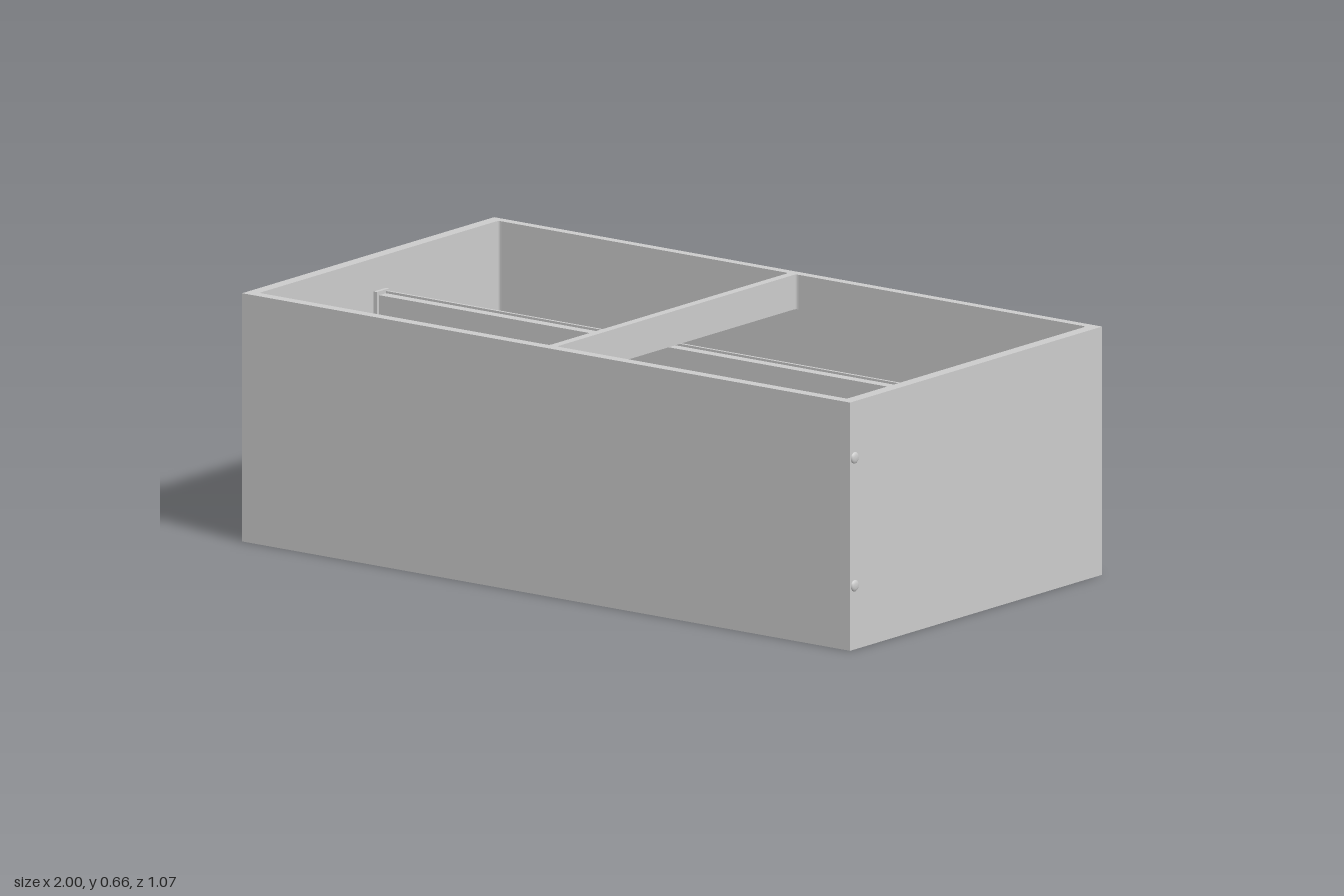
import * as THREE from 'three';

const W = 0.993, H = 0.66, D = 0.533;          // half width, height, half depth
const IX = 0.96, ZB = -0.508, ZF = 0.503;      // inner faces of the walls
const RAIL_Y = 0.568;                          // underside of the centre rail
const material = new THREE.MeshStandardMaterial({ color: 0xcccccc });

function add(parent, name, geometry, x = 0, y = 0, z = 0) {
  const mesh = new THREE.Mesh(geometry, material);
  mesh.name = name;
  mesh.position.set(x, y, z);
  parent.add(mesh);
  return mesh;
}

// Box given by its limits
function block(parent, name, x0, x1, y0, y1, z0, z1) {
  return add(parent, name, new THREE.BoxGeometry(x1 - x0, y1 - y0, z1 - z0),
    (x0 + x1) / 2, (y0 + y1) / 2, (z0 + z1) / 2);
}

// Rounded rectangle in plan, drawn with shape y = -z
function roundedRect(path, x0, x1, z0, z1, r) {
  const y0 = -z1, y1 = -z0;
  path.moveTo(x0 + r, y0);
  path.lineTo(x1 - r, y0).quadraticCurveTo(x1, y0, x1, y0 + r);
  path.lineTo(x1, y1 - r).quadraticCurveTo(x1, y1, x1 - r, y1);
  path.lineTo(x0 + r, y1).quadraticCurveTo(x0, y1, x0, y1 - r);
  path.lineTo(x0, y0 + r).quadraticCurveTo(x0, y0, x0 + r, y0);
  return path;
}

// Rectangular ring of walls with openings [x0, x1], standing from y0 to y1
function frame(parent, name, y0, y1, openings) {
  const shape = new THREE.Shape([[-W, -D], [W, -D], [W, D], [-W, D]].map(p => new THREE.Vector2(...p)));
  for (const [x0, x1] of openings) {
    shape.holes.push(roundedRect(new THREE.Path(), x0, x1, ZB, ZF, 0.01));
  }
  const geometry = new THREE.ExtrudeGeometry(shape, { depth: y1 - y0, bevelEnabled: false, curveSegments: 5 });
  geometry.rotateX(-Math.PI / 2);
  add(parent, name, geometry, 0, y0, 0);
}

// Low domed cap whose axis points along side * x
function dome(parent, name, radius, height, side, x, y, z) {
  const profile = [[radius, 0], [radius, height * 0.35], [radius * 0.8, height * 0.75],
    [radius * 0.45, height * 0.95], [0, height]].map(p => new THREE.Vector2(...p));
  const mesh = add(parent, name, new THREE.LatheGeometry(profile, 20), x, y, z);
  mesh.rotation.z = -side * Math.PI / 2;
}

export function createModel() {
  const model = new THREE.Group();
  model.name = 'dividedBox';

  // Walls, and the top frame that carries the centre rail
  frame(model, 'walls', 0, RAIL_Y, [[-IX, IX]]);
  frame(model, 'topFrameWithRail', RAIL_Y, H, [[-IX, -0.012], [0.012, IX]]);

  // Floor, recessed slightly under the wall edges
  block(model, 'floor', -IX - 0.005, IX + 0.005, 0.014, 0.03, ZB - 0.005, ZF + 0.005);

  // Cross divider with a thin rear lip
  block(model, 'crossDivider', -IX, IX, 0.03, 0.562, -0.018, 0.01);
  block(model, 'dividerLip', -IX, IX, 0.03, RAIL_Y, -0.026, -0.018);

  for (const side of [-1, 1]) {
    const group = new THREE.Group();
    group.name = side > 0 ? 'leftFittings' : 'rightFittings';
    model.add(group);

    // Holder for the end of the divider
    const plate = block(group, 'dividerHolder', -0.006, 0.006, 0.47, 0.572, -0.033, 0.02);
    plate.position.x = side * 0.955;

    // Small screws in the inner wall
    for (const z of [-0.145, 0.115]) dome(group, 'wallScrew', 0.005, 0.003, -side, side * IX, 0.52, z);

    for (const y of [0.17, 0.51]) {
      // Outer cap near the front edge
      dome(group, 'outerCap', 0.015, 0.007, side, side * W, y, 0.515);

      // Angle bracket in the front corner
      const bracket = new THREE.Group();
      bracket.name = 'cornerBracket';
      bracket.position.set(side * 0.94, y, 0.46);
      group.add(bracket);
      block(bracket, 'bracketPlate', -0.021, 0.021, -0.004, 0.004, -0.04, 0.043);
      const flange = block(bracket, 'bracketFlange', -0.003, 0.003, -0.04, 0.004, -0.04, 0.043);
      flange.position.x = side * 0.017;
      add(bracket, 'bracketScrew', new THREE.CylinderGeometry(0.008, 0.008, 0.006, 16), 0, 0.006, 0);
      add(bracket, 'bracketPin', new THREE.CylinderGeometry(0.004, 0.004, 0.012, 10), -side * 0.019, 0, -0.025);
    }
  }
  return model;
}
